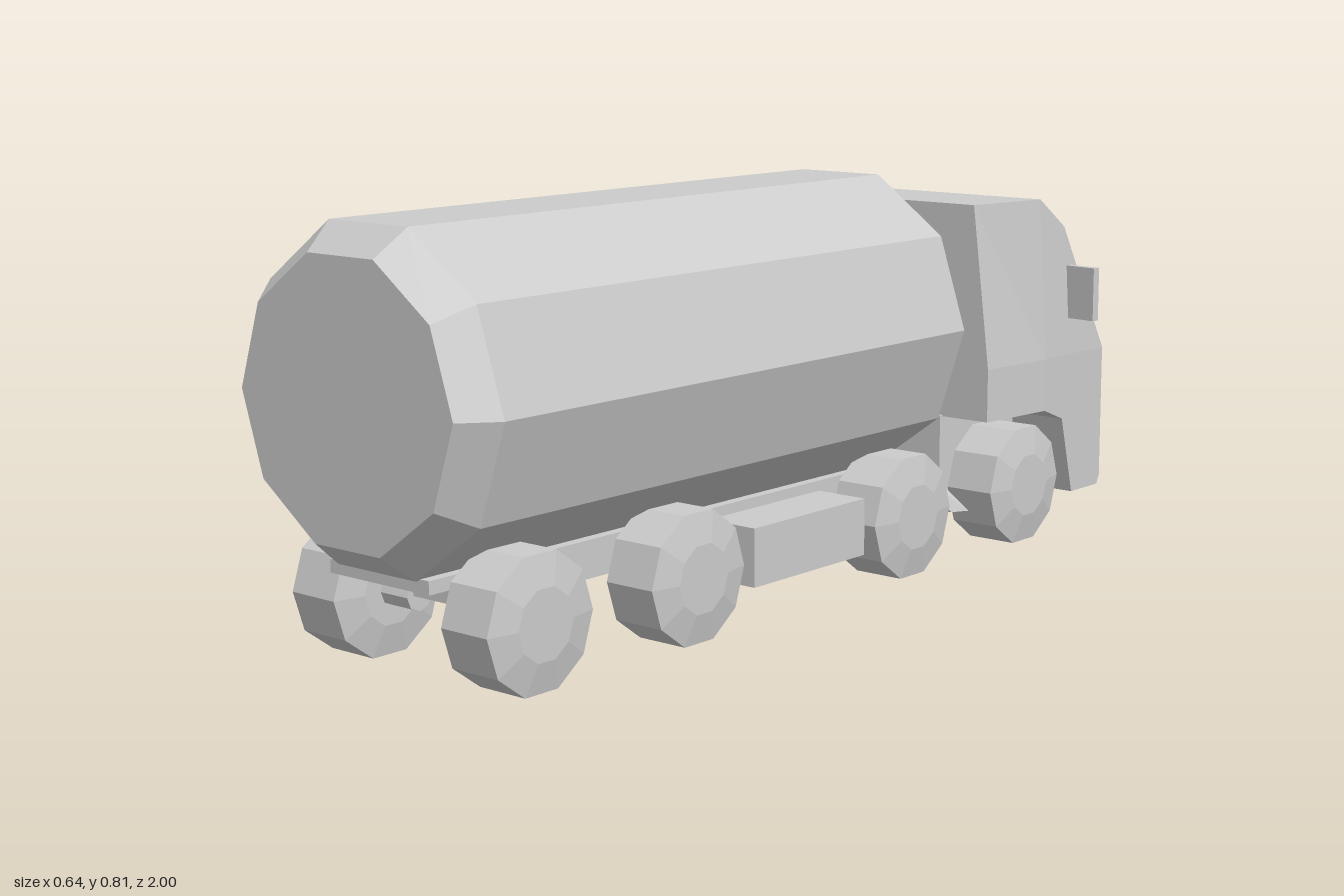
import * as THREE from 'three';

const material = new THREE.MeshStandardMaterial({ color: 0xcccccc, flatShading: true });
const V2 = (x, y) => new THREE.Vector2(x, y);
const shapeOf = (pts) => new THREE.Shape(pts.map(([x, y]) => V2(x, y)));

function add(parent, name, geometry, x = 0, y = 0, z = 0) {
  const mesh = new THREE.Mesh(geometry, material);
  mesh.name = name;
  mesh.position.set(x, y, z);
  parent.add(mesh);
  return mesh;
}

const box = (w, h, d) => new THREE.BoxGeometry(w, h, d);

// Side profile of [z, y] points stretched across x; halfWidth(y, z) shapes the sides
function prism(profile, halfWidth) {
  const geo = new THREE.ExtrudeGeometry(shapeOf(profile), { depth: 1, bevelEnabled: false });
  const p = geo.attributes.position;
  for (let i = 0; i < p.count; i++) {
    const z = p.getX(i), y = p.getY(i), side = 1 - 2 * p.getZ(i);
    p.setXYZ(i, side * halfWidth(y, z), y, z);
  }
  geo.computeVertexNormals();
  return geo;
}

// Ten-sided turned part from [radius, height] points
const turned = (pts) => new THREE.LatheGeometry(pts.map(([r, h]) => V2(r, h)), 10, Math.PI / 2);

// Framed panel on the cab front: outer outline with a hole, laid from a lower to an upper [z, y] point
function frontFrame(parent, name, low, high, outline, hole) {
  const depth = 0.012;
  const shape = shapeOf(outline);
  shape.holes.push(new THREE.Path(hole.map(([x, y]) => V2(x, y))));
  const geo = new THREE.ExtrudeGeometry(shape, { depth, bevelEnabled: false });
  geo.translate(0, 0, -depth);
  const right = new THREE.Vector3(-1, 0, 0);
  const up = new THREE.Vector3(0, high[1] - low[1], high[0] - low[0]).normalize();
  geo.applyMatrix4(new THREE.Matrix4().makeBasis(right, up, right.clone().cross(up)));
  add(parent, name, geo, 0, low[1], low[0]);
}

function makeTank(parent) {
  const geo = turned([[0, -0.44], [0.265, -0.44], [0.318, -0.37], [0.318, 0.935], [0.265, 1], [0, 1]]);
  add(parent, 'tank', geo.rotateX(Math.PI / 2), 0, 0.505, 0);
}

function makeChassis(parent) {
  const chassis = new THREE.Group();
  chassis.name = 'chassis';
  add(chassis, 'upperFrame', box(0.25, 0.025, 1.33), 0, 0.194, 0.265);
  add(chassis, 'lowerFrame', box(0.2, 0.08, 1.2), 0, 0.165, 0.2);
  add(chassis, 'frontCrossbeam', box(0.2, 0.05, 0.1), 0, 0.163, -0.41);
  // Storage box between the axles
  add(chassis, 'storageBox', box(0.48, 0.115, 0.345), 0, 0.128, 0.028);
  add(chassis, 'storageBoxEnds', prism(
    [[0.24, 0.19], [0.24, 0.14], [0.2, 0.1], [-0.145, 0.1], [-0.18, 0.14], [-0.18, 0.19]], () => 0.12));
  // Neck to the cab, with a flared sloping plate
  add(chassis, 'neck', prism([[-0.38, 0.207], [-0.38, 0.185], [-0.475, 0.185], [-0.485, 0.207]], () => 0.11));
  add(chassis, 'neckPlate', prism(
    [[-0.485, 0.207], [-0.47, 0.187], [-0.54, 0.08], [-0.575, 0.08]],
    (y, z) => THREE.MathUtils.mapLinear(THREE.MathUtils.clamp(z, -0.555, -0.49), -0.49, -0.555, 0.11, 0.195)));
  add(chassis, 'cabFloor', box(0.25, 0.2, 0.33), 0, 0.18, -0.73);
  parent.add(chassis);
}

function makeWheels(parent) {
  const wheelGeo = turned([[0, -0.068], [0.068, -0.068], [0.13, -0.055], [0.13, 0.055], [0.068, 0.068], [0, 0.068]]);
  wheelGeo.rotateZ(-Math.PI / 2);
  const axleGeo = new THREE.CylinderGeometry(0.03, 0.03, 0.09, 8).rotateZ(Math.PI / 2);
  for (const z of [0.785, 0.37, -0.3, -0.71]) {
    for (const side of [1, -1]) {
      add(parent, 'wheel', wheelGeo, side * 0.192, 0.1236, z).rotation.x = Math.PI / 2;
      add(parent, 'axle', axleGeo, side * 0.1, 0.1236, z);
    }
  }
  // Lathe corners point along z so that each tyre rests on a flat facet
  parent.children.filter((m) => m.name === 'wheel').forEach((m) => { m.rotation.x = wheelTurn(wheelGeo); });
}

// Turn needed to bring a rim corner onto the z axis
function wheelTurn(geo) {
  const p = geo.attributes.position;
  return -Math.atan2(-p.getY(2), p.getZ(2));
}

function makeCab(parent) {
  const cab = new THREE.Group();
  cab.name = 'cab';
  const clamp = THREE.MathUtils.clamp;
  // Sides lean in above the belt line and taper towards the back
  const halfWidth = (y, z) => {
    const rise = Math.max(0, y - 0.39);
    const back = clamp((z + 0.77) / 0.195, 0, 1);
    return 0.257 - 0.065 * rise - back * (0.018 + 0.058 * rise);
  };
  const sections = {
    lowerFront: [[-0.988, 0.39], [-0.988, 0.1], [-1, 0.1], [-0.99, 0.08], [-0.885, 0.08], [-0.84, 0.25],
      [-0.77, 0.277], [-0.77, 0.39]],
    upperFront: [[-0.77, 0.39], [-0.77, 0.735], [-0.86, 0.67], [-0.849, 0.665], [-0.987, 0.39]],
    lowerBack: [[-0.77, 0.277], [-0.575, 0.277], [-0.575, 0.39], [-0.77, 0.39]],
    upperBack: [[-0.77, 0.39], [-0.575, 0.39], [-0.575, 0.735], [-0.77, 0.735]],
  };
  for (const [name, profile] of Object.entries(sections)) add(cab, name, prism(profile, halfWidth));

  // Recessed windscreen and lower front panel
  frontFrame(cab, 'windscreenFrame', [-1, 0.39], [-0.86, 0.67],
    [[-0.257, 0], [0.257, 0], [0.239, 0.313], [-0.239, 0.313]],
    [[-0.205, 0.025], [-0.2, 0.285], [0.2, 0.285], [0.205, 0.025]]);
  frontFrame(cab, 'frontPanelFrame', [-1, 0.1], [-1, 0.39],
    [[-0.257, 0], [0.257, 0], [0.257, 0.29], [-0.257, 0.29]],
    [[-0.11, 0.08], [-0.19, 0.255], [0.19, 0.255], [0.11, 0.08]]);

  // Door mirrors
  for (const side of [1, -1]) {
    add(cab, 'mirror', box(0.085, 0.115, 0.018), side * 0.278, 0.527, -0.87).rotation.y = side * -0.12;
  }
  parent.add(cab);
}

export function createModel() {
  const truck = new THREE.Group();
  truck.name = 'tankTruck';
  makeTank(truck);
  makeChassis(truck);
  makeWheels(truck);
  makeCab(truck);
  return truck;
}
